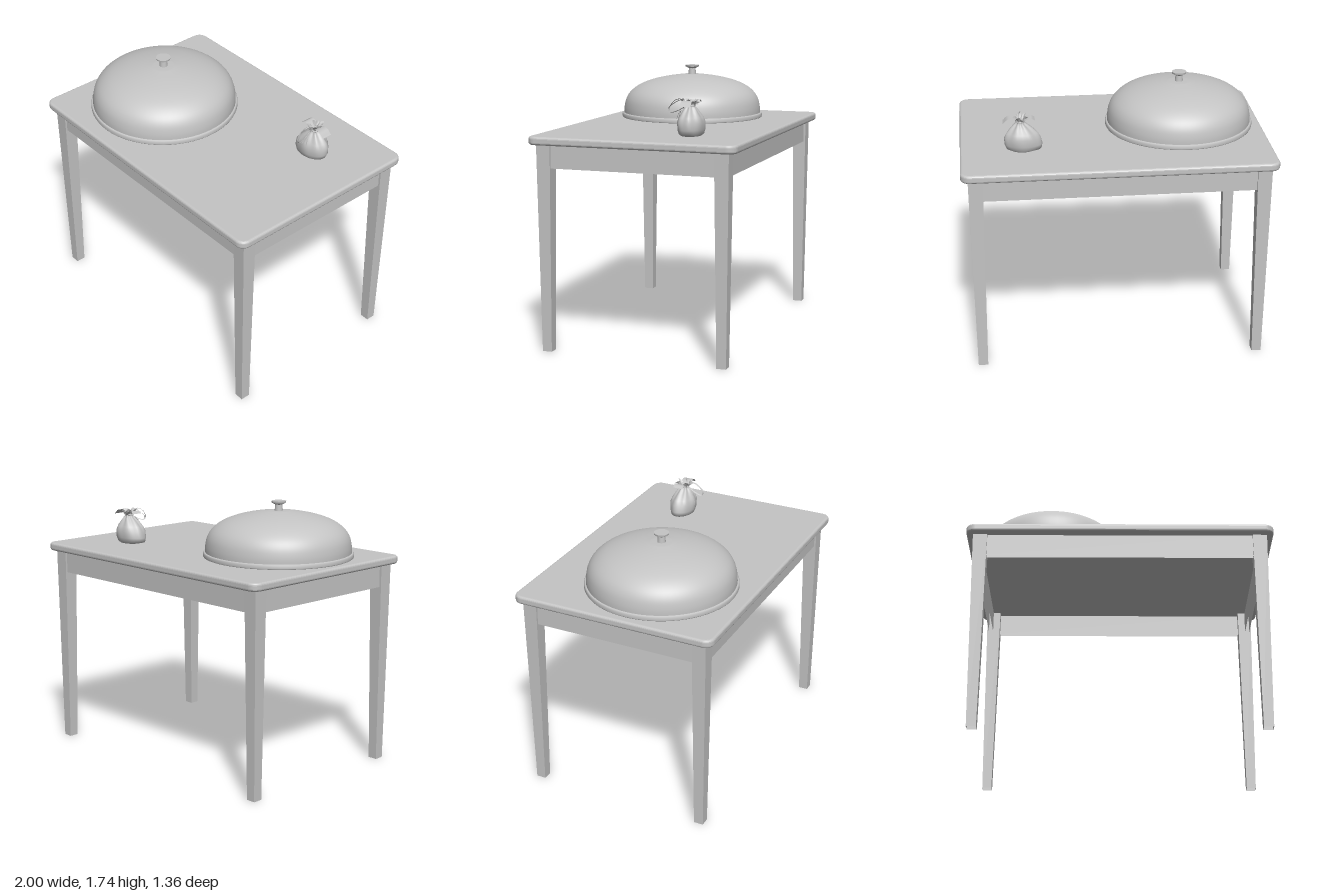
import * as THREE from 'three';

export function createModel() {
  const model = new THREE.Group();
  const grey = new THREE.MeshStandardMaterial({ color: 0xc4c4c4, side: THREE.DoubleSide });
  grey.name = 'plain grey';
  const v2 = (x, y) => new THREE.Vector2(x, y);
  const v3 = (x, y, z) => new THREE.Vector3(x, y, z);
  const add = (parent, name, geometry, x = 0, y = 0, z = 0) => {
    const mesh = new THREE.Mesh(geometry, grey);
    mesh.name = name;
    mesh.position.set(x, y, z);
    parent.add(mesh);
    return mesh;
  };

  // Table top: rounded rectangle with softened edges
  const edge = 0.016, hx = 1 - edge, hz = 0.68 - edge, r = 0.045;
  const outline = new THREE.Shape();
  outline.moveTo(-hx + r, -hz);
  outline.absarc(hx - r, -hz + r, r, -Math.PI / 2, 0);
  outline.absarc(hx - r, hz - r, r, 0, Math.PI / 2);
  outline.absarc(-hx + r, hz - r, r, Math.PI / 2, Math.PI);
  outline.absarc(-hx + r, -hz + r, r, Math.PI, Math.PI * 1.5);
  const topGeo = new THREE.ExtrudeGeometry(outline, {
    depth: 0.021, bevelThickness: 0.016, bevelSize: edge, bevelSegments: 4, curveSegments: 8,
  });
  topGeo.rotateX(-Math.PI / 2);
  add(model, 'tableTop', topGeo, 0, 1.345, 0);

  // Four-sided open tube, optionally tapered towards the bottom
  const openBox = (w, h, d, taper = 1) => {
    const geo = new THREE.CylinderGeometry(Math.SQRT1_2, Math.SQRT1_2 * taper, h, 4, 1, true);
    geo.rotateY(Math.PI / 4);
    geo.scale(w, 1, d);
    const flat = geo.toNonIndexed();
    flat.computeVertexNormals();
    return flat;
  };

  // Tapered legs and apron boards, open underneath
  const legHeight = 1.335;
  for (const s of [-1, 1]) {
    for (const sx of [-1, 1]) {
      add(model, 'leg', openBox(0.093, legHeight, 0.093, 0.67), sx * 0.909, legHeight / 2, s * 0.582);
    }
    add(model, 'longApron', openBox(1.75, 0.154, 0.03), 0, 1.258, s * 0.6);
    add(model, 'shortApron', openBox(0.03, 0.154, 1.1), s * 0.926, 1.258, 0);
  }

  // Serving dome with rim and knob
  const cloche = new THREE.Group();
  cloche.name = 'servingDome';
  cloche.position.set(-0.457, 1.381, 0.09);
  model.add(cloche);
  const domeCurve = new THREE.SplineCurve([
    v2(0.477, 0.02), v2(0.475, 0.07), v2(0.461, 0.128), v2(0.428, 0.178),
    v2(0.367, 0.223), v2(0.28, 0.257), v2(0.18, 0.28), v2(0.09, 0.293),
    v2(0.06, 0.296), v2(0, 0.297),
  ]);
  add(cloche, 'dome', new THREE.LatheGeometry(domeCurve.getPoints(36), 64));
  add(cloche, 'domeRim', new THREE.LatheGeometry([
    v2(0.467, 0), v2(0.487, 0), v2(0.49, 0.006), v2(0.489, 0.024), v2(0.484, 0.031), v2(0.47, 0.033),
  ], 64));
  add(cloche, 'knobStem', new THREE.CylinderGeometry(0.023, 0.027, 0.05, 24), 0, 0.317, 0);
  add(cloche, 'knobCap', new THREE.CylinderGeometry(0.048, 0.046, 0.011, 32), 0, 0.354, 0);
  add(cloche, 'knobUnderside', new THREE.CylinderGeometry(0.046, 0.024, 0.012, 32), 0, 0.3425, 0);

  // Tied pouch: rings of [y, halfX, halfZ, centreX, fold depth]
  const pouch = new THREE.Group();
  pouch.name = 'pouch';
  pouch.position.set(0.597, 1.382, -0.268);
  model.add(pouch);
  const rings = [
    [0, 0.001, 0.001, 0, 0], [0, 0.08, 0.062, 0, 0], [0.01, 0.112, 0.074, -0.008, 0],
    [0.04, 0.121, 0.083, -0.004, 0.01], [0.085, 0.115, 0.085, 0.002, 0.03], [0.115, 0.098, 0.073, 0.004, 0.05],
    [0.145, 0.068, 0.054, 0.008, 0.09], [0.17, 0.04, 0.038, 0.012, 0.14], [0.188, 0.024, 0.026, 0.014, 0.12],
    [0.2, 0.027, 0.032, 0.014, 0.15], [0.214, 0.034, 0.044, 0.014, 0.2], [0.221, 0.042, 0.052, 0.014, 0.25],
  ];
  const sides = 56, verts = [], faces = [];
  rings.forEach(([y, rx, rz, cx, fold], j) => {
    for (let i = 0; i <= sides; i++) {
      const a = (i / sides) * Math.PI * 2;
      const k = 1 + fold * Math.cos(7 * a);
      const lift = j > 9 ? 0.01 * Math.sin(5 * a) : 0;
      verts.push(cx + rx * k * Math.sin(a), y + lift, rz * k * Math.cos(a));
      if (j && i < sides) {
        const b = j * (sides + 1) + i, c = b - sides - 1;
        faces.push(c, c + 1, b, c + 1, b + 1, b);
      }
    }
  });
  const bag = new THREE.BufferGeometry();
  bag.setAttribute('position', new THREE.Float32BufferAttribute(verts, 3));
  bag.setIndex(faces);
  bag.computeVertexNormals();
  add(pouch, 'pouchCloth', bag);

  // Cord around the neck
  const cord = new THREE.TorusGeometry(0.026, 0.005, 8, 28);
  cord.rotateX(Math.PI / 2);
  add(pouch, 'neckCord', cord, 0.014, 0.188, 0);

  // Flat strips swept along a curve, widened along a fixed direction
  const strip = (name, points, wide) => {
    const pts = new THREE.CatmullRomCurve3(points).getPoints(24);
    const pos = [], idx = [];
    pts.forEach((p, i) => {
      pos.push(...p.clone().add(wide).toArray(), ...p.clone().sub(wide).toArray());
      if (i) idx.push(2 * i - 2, 2 * i - 1, 2 * i, 2 * i - 1, 2 * i + 1, 2 * i);
    });
    const geo = new THREE.BufferGeometry();
    geo.setAttribute('position', new THREE.Float32BufferAttribute(pos, 3));
    geo.setIndex(idx);
    geo.computeVertexNormals();
    add(pouch, name, geo);
  };

  // Drooping cloth tips on both sides
  strip('clothTip', [v3(0, 0.19, -0.01), v3(-0.02, 0.21, -0.01), v3(-0.055, 0.22, -0.01), v3(-0.08, 0.205, -0.005)], v3(0, 0, 0.035));
  strip('clothTip', [v3(0.02, 0.19, 0), v3(0.05, 0.217, 0), v3(0.09, 0.217, 0), v3(0.124, 0.188, 0)], v3(0, 0, 0.035));

  // Bow loops and hanging cord ends at the front
  for (const s of [-1, 1]) {
    strip('bowLoop', [
      v3(0.014, 0.188, 0.025), v3(0.014 + s * 0.006, 0.222, 0.05), v3(0.014 + s * 0.008, 0.212 - s * 0.008, 0.1),
      v3(0.014 + s * 0.006, 0.165, 0.143), v3(0.014, 0.142, 0.132), v3(0.014, 0.155, 0.08), v3(0.014, 0.186, 0.028),
    ], v3(0.004, 0.002, 0));
    strip('cordEnd', [
      v3(0.014, 0.186, 0.028), v3(0.012 + s * 0.009, 0.15, 0.066), v3(0.01 + s * 0.018, 0.105, 0.086),
    ], v3(0.004, 0, 0));
  }
  return model;
}
